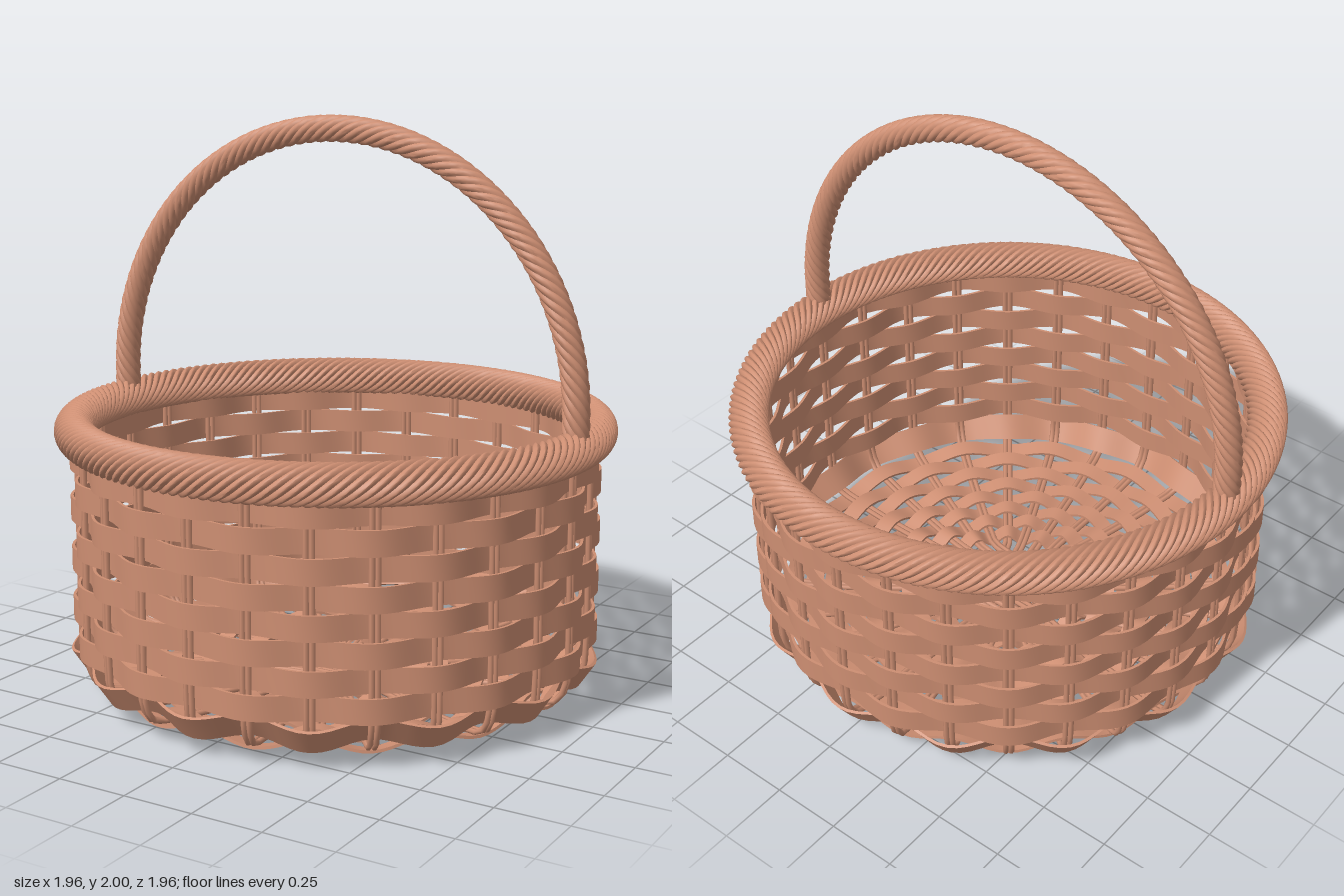
import * as THREE from 'three';
import { toCreasedNormals } from 'three/addons/utils/BufferGeometryUtils.js';

const STAKES = 28;
const STEP = (Math.PI * 2) / STAKES;
const WALL = 0.905;

// Skin over a list of cross-section loops, optionally joined end to start
function loft(rings, closed, crease) {
  const cols = rings[0].length, index = [];
  const last = closed ? rings.length : rings.length - 1;
  for (let i = 0; i < last; i++) {
    for (let j = 0; j < cols; j++) {
      const i2 = (i + 1) % rings.length, j2 = (j + 1) % cols;
      const a = i * cols + j, b = i * cols + j2, c = i2 * cols + j, d = i2 * cols + j2;
      index.push(a, c, b, c, d, b);
    }
  }
  const geo = new THREE.BufferGeometry().setFromPoints(rings.flat());
  geo.setIndex(index);
  return toCreasedNormals(geo, crease);
}

// Woven strip between two (radius, height) edges, passing in and out of the stakes
function weaver(r0, y0, r1, y1, amp) {
  const len = Math.hypot(r1 - r0, y1 - y0);
  const nr = (y1 - y0) / len, ny = -(r1 - r0) / len, half = 0.005;
  const rings = [], count = STAKES * 6;
  for (let i = 0; i < count; i++) {
    const t = (i / count) * Math.PI * 2;
    const wave = amp * Math.cos((t * STAKES) / 2);
    const at = (r, y, h) => {
      const rr = r + nr * (wave + h);
      return new THREE.Vector3(rr * Math.sin(t), y + ny * (wave + h), rr * Math.cos(t));
    };
    rings.push([at(r0, y0, half), at(r1, y1, half), at(r1, y1, -half), at(r0, y0, -half)]);
  }
  return loft(rings, true, 0.6);
}

// Twisted rope; frame(u) gives centre, outward and sideways vectors
function rope(frame, steps, radius, lobes, turns, closed) {
  const rings = [], cols = lobes * 4;
  const count = closed ? steps : steps + 1;
  for (let i = 0; i < count; i++) {
    const { c, n, b } = frame(i / steps);
    const loop = [];
    for (let j = 0; j < cols; j++) {
      const a = (j / cols + (i / steps) * turns) * Math.PI * 2;
      const r = radius * (0.86 + 0.14 * Math.abs(Math.sin((j / 4) * Math.PI)));
      loop.push(c.clone().addScaledVector(n, r * Math.cos(a)).addScaledVector(b, r * Math.sin(a)));
    }
    rings.push(loop);
  }
  return loft(rings, closed, 0.8);
}

const floorY = (r) => 0.03 + 0.04 * Math.pow(r / 0.87, 6);

// One rod running up a wall, under the floor and up the opposite wall
function stakeRod(k, offset, centreY) {
  const a = k * STEP, half = [];
  const radial = (r, y) => half.push([
    r * Math.sin(a) + offset * Math.cos(a), y, r * Math.cos(a) - offset * Math.sin(a)]);
  radial(WALL, 0.92);
  radial(WALL, 0.55);
  radial(WALL, 0.2);
  radial(0.897, 0.12);
  radial(0.865, 0.068);
  for (const r of [0.78, 0.6, 0.45, 0.32]) radial(r, floorY(r));
  half.push([0.05 * k + offset, centreY, 0.17]);
  const other = half.map(([x, y, z]) => [x, y, -z]).reverse();
  const path = new THREE.CatmullRomCurve3(
    [...half, ...other].map((p) => new THREE.Vector3(...p)), false, 'centripetal');
  return new THREE.TubeGeometry(path, 80, 0.01, 6);
}

export function createModel() {
  const group = new THREE.Group();
  const wicker = new THREE.MeshStandardMaterial({ color: 0xcd8e72 });
  wicker.name = 'wicker';

  const add = (parent, name, geo) => {
    const mesh = new THREE.Mesh(geo, wicker);
    mesh.name = name;
    parent.add(mesh);
    return mesh;
  };

  // Two crossing bundles of paired rods, fanned out into the wall stakes
  const stakes = new THREE.Group();
  stakes.name = 'stakes';
  group.add(stakes);
  for (let k = -3; k <= 3; k++) {
    for (const offset of [-0.0095, 0.0095]) {
      add(stakes, 'lowerStake', stakeRod(k, offset, 0.014));
      add(stakes, 'upperStake', stakeRod(k, offset, 0.038)).rotation.y = Math.PI / 2;
    }
  }

  // Strips alternate over and under: floor rings, flared corner, wall rows
  const weave = new THREE.Group();
  weave.name = 'weave';
  group.add(weave);
  for (let i = 0; i < 8; i++) {
    const r0 = 0.268 + i * 0.0735, r1 = r0 + 0.064;
    add(weave, 'floorWeaver', weaver(r0, floorY(r0), r1, floorY(r1), i % 2 ? -0.018 : 0.018));
  }
  add(weave, 'cornerWeaver', weaver(0.86, 0.075, 0.917, 0.16, 0.025));
  for (let i = 0; i < 8; i++) {
    const y = 0.165 + i * 0.09;
    add(weave, 'wallWeaver', weaver(WALL, y, WALL, y + 0.085, i % 2 ? 0.02 : -0.02));
  }

  // Rope rim
  const up = new THREE.Vector3(0, 1, 0);
  add(group, 'rim', rope((u) => {
    const t = u * Math.PI * 2;
    const n = new THREE.Vector3(Math.sin(t), 0, Math.cos(t));
    return { c: n.clone().multiplyScalar(0.91).setY(0.93), n, b: up };
  }, 286, 0.071, 12, 13, true));

  // Rope handle: half circle with short straight feet sunk into the rim
  const side = new THREE.Vector3(0, 0, 1);
  const R = 0.91, foot = 0.11, total = Math.PI * R + foot * 2;
  add(group, 'handle', rope((u) => {
    const s = u * total - foot;
    const t = THREE.MathUtils.clamp(s / R, 0, Math.PI);
    const drop = Math.min(0, s, Math.PI * R - s);
    const n = new THREE.Vector3(Math.cos(t), Math.sin(t), 0);
    const c = n.clone().multiplyScalar(R);
    c.y += 1.043 + drop;
    return { c, n, b: side };
  }, 200, 0.047, 8, 9, false));

  return group;
}
